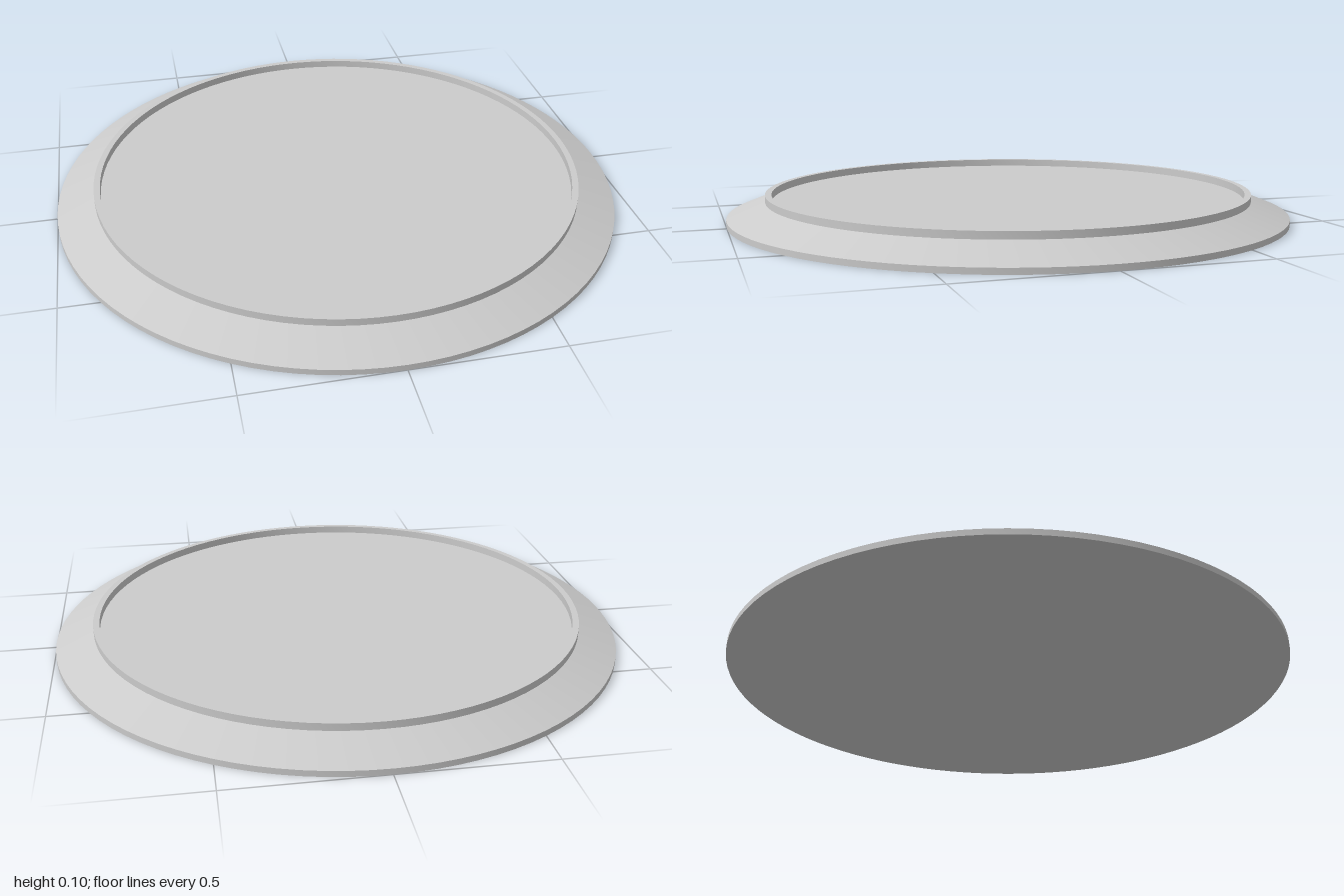
import * as THREE from 'three';
import { toCreasedNormals } from 'three/addons/utils/BufferGeometryUtils.js';

const SEGMENTS = 96;

// Turns a profile of [radius, height] points into a solid with sharp edges.
function turned(name, profile, material) {
  const points = profile.map(([r, y]) => new THREE.Vector2(r, y));
  const geometry = toCreasedNormals(new THREE.LatheGeometry(points, SEGMENTS), 0.3);
  const mesh = new THREE.Mesh(geometry, material);
  mesh.name = name;
  return mesh;
}

export function createModel() {
  const group = new THREE.Group();
  group.name = 'roundBase';
  const material = new THREE.MeshStandardMaterial({ color: 0xcccccc });

  // Closed profile: flat underside, thin edge, sloped flange, raised lip, recessed floor
  group.add(turned('base', [
    [0, 0],
    [1, 0],
    [1, 0.02],
    [0.867, 0.072],
    [0.867, 0.097],
    [0.845, 0.097],
    [0.845, 0.07],
    [0, 0.07],
  ], material));

  return group;
}
